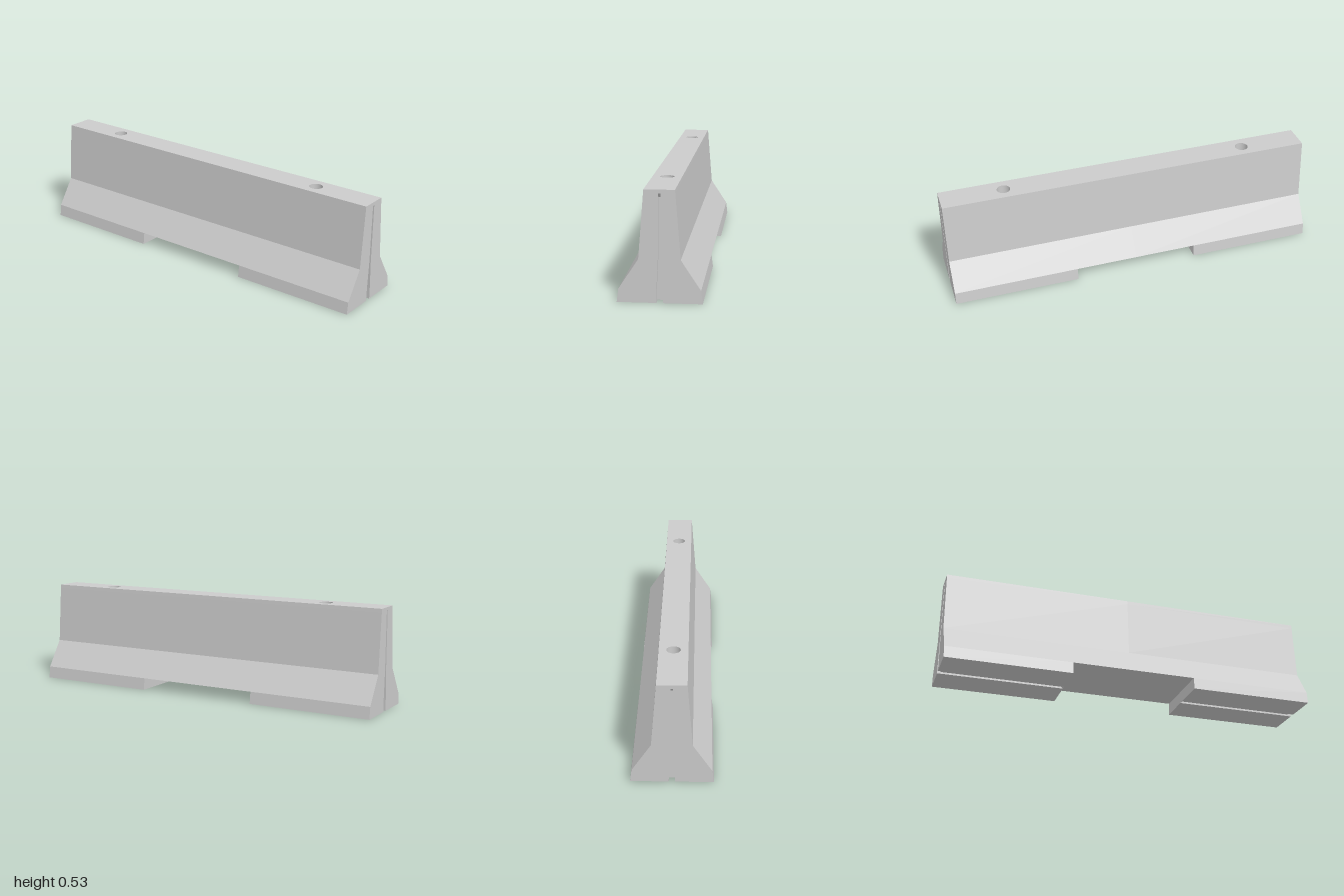
import * as THREE from 'three';

const HALF = 1, FOOT = 0.333, DEPTH = 0.02; // half length, foot inner end, slot depth
const HOLE_X = 0.667, HOLE_R = 0.035, HOLE_DEPTH = 0.05;
const GROOVE_Y = 0.01, SLOT_BACK_TOP = 0.495;

// Cross-section levels: [height, outer half width, end slot half width]
const rows = [
  [0, 0.2, 0.0155],
  [0.0635, 0.192, 0.0145],
  [0.207, 0.098, 0.0075],
  [0.515, 0.0735, 0.006],
  [0.533, 0.072, 0],
];

// Collects flat convex faces, each wound to face along a given direction
function faceBuilder() {
  const pos = [];
  const V = (p) => new THREE.Vector3(...p);
  const add = (dir, ...pts) => {
    const v = pts.map(V);
    const n = v[1].clone().sub(v[0]).cross(v[2].clone().sub(v[0]));
    if (n.dot(V(dir)) < 0) v.reverse();
    for (let i = 1; i < v.length - 1; i++)
      for (const p of [v[0], v[i], v[i + 1]]) pos.push(p.x, p.y, p.z);
  };
  const build = () => {
    const g = new THREE.BufferGeometry();
    g.setAttribute('position', new THREE.Float32BufferAttribute(pos, 3));
    g.computeVertexNormals();
    return g;
  };
  return { add, build };
}

// Sloped sides, end face, feet and underside of one half
function shellGeometry() {
  const { add, build } = faceBuilder();
  const [, footRow] = rows;
  const w = rows[0][2], cut = footRow[0];
  for (const s of [1, -1]) {
    for (let i = 0; i < rows.length - 1; i++) {
      const [y0, o0, n0] = rows[i], [y1, o1, n1] = rows[i + 1];
      const x0 = i === 0 ? FOOT : 0;
      add([0, 0, s], [x0, y0, s * o0], [HALF, y0, s * o0], [HALF, y1, s * o1], [x0, y1, s * o1]);
      add([1, 0, 0], [HALF, y0, s * n0], [HALF, y0, s * o0], [HALF, y1, s * o1], [HALF, y1, s * n1]);
    }
    // Foot underside beside the groove
    const o = rows[0][1];
    add([0, -1, 0], [FOOT, 0, s * w], [HALF, 0, s * w], [HALF, 0, s * o], [FOOT, 0, s * o]);
  }
  // End face above the slot
  add([1, 0, 0], [HALF, 0.515, 0.006], [HALF, 0.515, -0.006], [HALF, 0.533, 0]);
  // Foot inner wall and the raised underside between the feet
  const o0 = rows[0][1], o1 = footRow[1];
  add([-1, 0, 0], [FOOT, 0, -o0], [FOOT, 0, o0], [FOOT, cut, o1], [FOOT, cut, -o1]);
  add([0, -1, 0], [0, cut, -o1], [FOOT, cut, -o1], [FOOT, cut, o1], [0, cut, o1]);
  return build();
}

// Vertical slot in the end face, running on as a groove under the foot
function slotGeometry() {
  const { add, build } = faceBuilder();
  const xb = HALF - DEPTH, w = rows[0][2], gx = FOOT + 0.01;
  for (let i = 0; i < 3; i++) {
    const [y0, , n0] = rows[i], [y1, , n1] = rows[i + 1];
    const b0 = i === 0 ? GROOVE_Y : y0, b1 = i === 2 ? SLOT_BACK_TOP : y1;
    for (const s of [1, -1])
      add([0, 0, -s], [HALF, y0, s * n0], [HALF, y1, s * n1], [xb, b1, s * n1], [xb, y0, s * n0]);
    add([1, 0, 0], [xb, b0, -n0], [xb, b0, n0], [xb, b1, n1], [xb, b1, -n1]);
  }
  // Sloped slot ceiling
  const t = rows[3][2];
  add([0, -1, 0], [HALF, 0.515, -t], [HALF, 0.515, t], [xb, SLOT_BACK_TOP, t], [xb, SLOT_BACK_TOP, -t]);
  // Groove walls, ceiling and sloped end
  for (const s of [1, -1])
    add([0, 0, -s], [FOOT, 0, s * w], [xb, 0, s * w], [xb, GROOVE_Y, s * w], [gx, GROOVE_Y, s * w]);
  add([0, -1, 0], [gx, GROOVE_Y, -w], [xb, GROOVE_Y, -w], [xb, GROOVE_Y, w], [gx, GROOVE_Y, w]);
  add([1, -1, 0], [FOOT, 0, -w], [FOOT, 0, w], [gx, GROOVE_Y, w], [gx, GROOVE_Y, -w]);
  return build();
}

export function createModel() {
  const model = new THREE.Group();
  model.name = 'roadBarrier';
  const material = new THREE.MeshStandardMaterial({ color: 0xcccccc });
  const inside = new THREE.MeshStandardMaterial({ color: 0xcccccc, side: THREE.BackSide });
  const [topY, topZ] = rows[rows.length - 1];

  const mesh = (parent, name, geometry, mat = material) => {
    const m = new THREE.Mesh(geometry, mat);
    m.name = name;
    parent.add(m);
    return m;
  };

  // Top face with two round lifting holes
  const top = new THREE.Shape();
  top.moveTo(-HALF, -topZ).lineTo(HALF, -topZ).lineTo(HALF, topZ).lineTo(-HALF, topZ).closePath();
  for (const s of [1, -1])
    top.holes.push(new THREE.Path().absarc(s * HOLE_X, 0, HOLE_R, 0, Math.PI * 2, true));
  mesh(model, 'topFace', new THREE.ShapeGeometry(top, 16).rotateX(-Math.PI / 2)).position.y = topY;

  // Two identical halves, the second turned half a circle
  const shell = shellGeometry(), slot = slotGeometry();
  for (const [name, angle] of [['leftHalf', 0], ['rightHalf', Math.PI]]) {
    const half = new THREE.Group();
    half.name = name;
    half.rotation.y = angle;
    model.add(half);
    mesh(half, 'body', shell);
    mesh(half, 'endSlot', slot);
    mesh(half, 'liftingHoleWall', new THREE.CylinderGeometry(HOLE_R, HOLE_R, HOLE_DEPTH, 32, 1, true), inside)
      .position.set(HOLE_X, topY - HOLE_DEPTH / 2, 0);
    mesh(half, 'liftingHoleFloor', new THREE.CircleGeometry(HOLE_R, 32).rotateX(-Math.PI / 2))
      .position.set(HOLE_X, topY - HOLE_DEPTH, 0);
  }
  return model;
}
